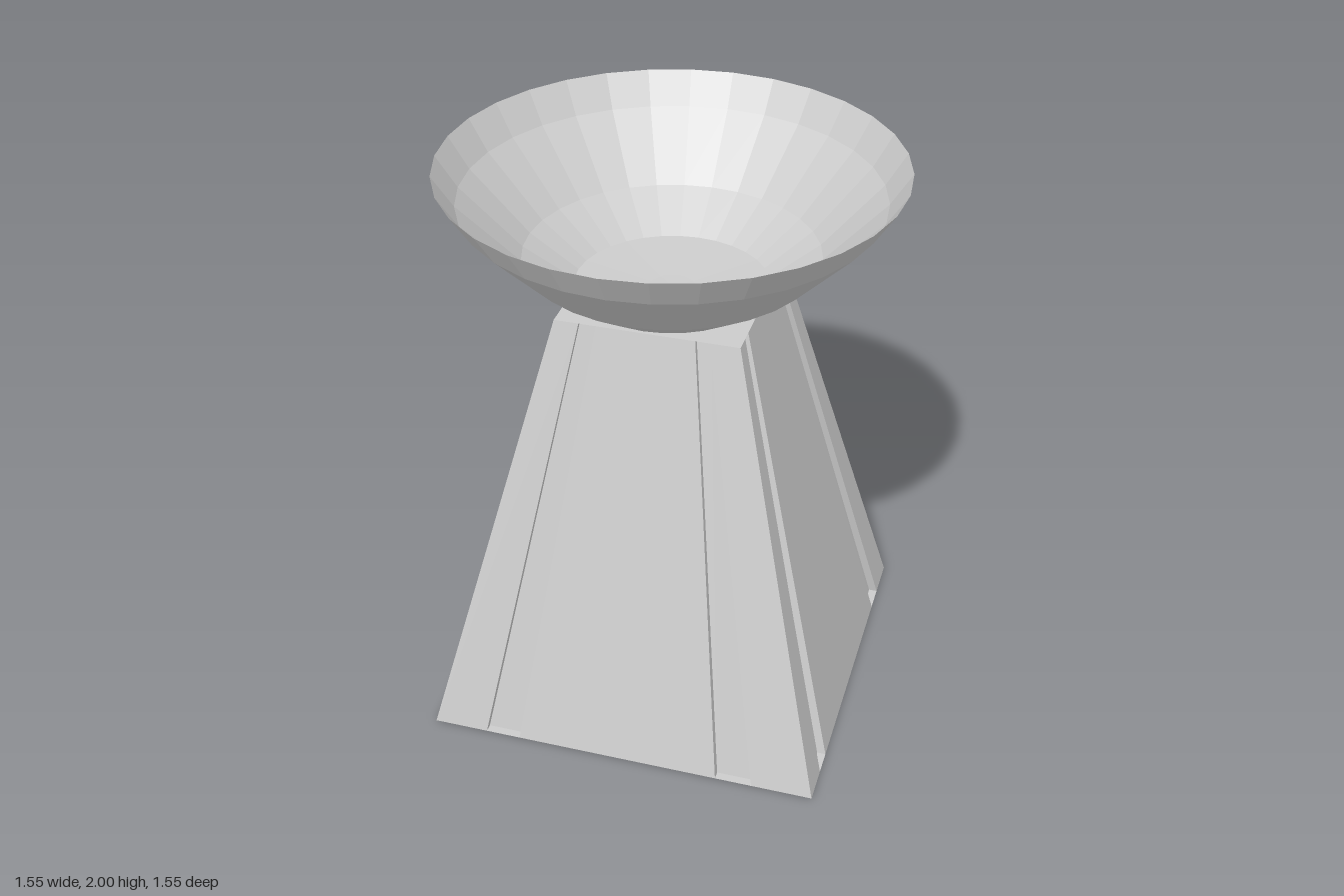
import * as THREE from 'three';

const grey = () => new THREE.MeshStandardMaterial({ color: 0xcccccc, flatShading: true, side: THREE.DoubleSide });

// Horizontal outline of the pedestal: a rectangle with two grooves in each side
function outline({ w, d, y, gx, gz, depth }) {
  const pts = [];
  // one side: the start corner, then the notches in walking order
  const side = (start, notches, at) => {
    pts.push(at(start, 0));
    for (const [a, b] of notches) pts.push(at(a, 0), at(a, depth), at(b, depth), at(b, 0));
  };
  const reversed = (notches) => notches.map(([a, b]) => [b, a]).reverse();
  side(-w, gx, (x, inset) => [x, y, d - inset]);
  side(d, reversed(gz), (z, inset) => [w - inset, y, z]);
  side(w, reversed(gx), (x, inset) => [x, y, -d + inset]);
  side(-d, gz, (z, inset) => [-w + inset, y, z]);
  return pts;
}

// Walls between two outlines with the same number of points
function loft(lower, upper) {
  const pos = [];
  lower.forEach((a, i) => {
    const j = (i + 1) % lower.length;
    const b = lower[j], c = upper[j], e = upper[i];
    pos.push(...a, ...b, ...c, ...a, ...c, ...e);
  });
  const geo = new THREE.BufferGeometry();
  geo.setAttribute('position', new THREE.Float32BufferAttribute(pos, 3));
  geo.computeVertexNormals();
  return geo;
}

export function createModel() {
  const model = new THREE.Group();
  const add = (name, geometry, parent) => {
    const mesh = new THREE.Mesh(geometry, grey());
    mesh.name = name;
    parent.add(mesh);
    return mesh;
  };

  // Tapered pedestal with grooved sides
  const pedestal = new THREE.Group();
  pedestal.name = 'pedestal';
  model.add(pedestal);
  const base = {
    w: 0.695, d: 0.665, y: 0, depth: 0.03,
    gx: [[-0.5, -0.375], [0.35, 0.48]],
    gz: [[-0.51, -0.41], [0.44, 0.53]],
  };
  const top = {
    w: 0.315, d: 0.3, y: 1.54, depth: 0.018,
    gx: [[-0.23, -0.17], [0.165, 0.215]],
    gz: [[-0.235, -0.19], [0.2, 0.24]],
  };
  add('groovedWalls', loft(outline(base), outline(top)), pedestal);

  // Full plates close the grooves at both ends
  for (const [name, s, turn] of [['basePlate', base, 1], ['topPlate', top, -1]]) {
    const plate = add(name, new THREE.PlaneGeometry(s.w * 2, s.d * 2), pedestal);
    plate.rotation.x = turn * Math.PI / 2;
    plate.position.y = s.y;
  }

  // Thin faceted bowl
  const profile = [[0, 1.55], [0.08, 1.551], [0.33, 1.567], [0.5, 1.68], [0.705, 1.89], [0.775, 2]];
  add('bowl', new THREE.LatheGeometry(profile.map(([r, y]) => new THREE.Vector2(r, y)), 32), model);

  return model;
}
